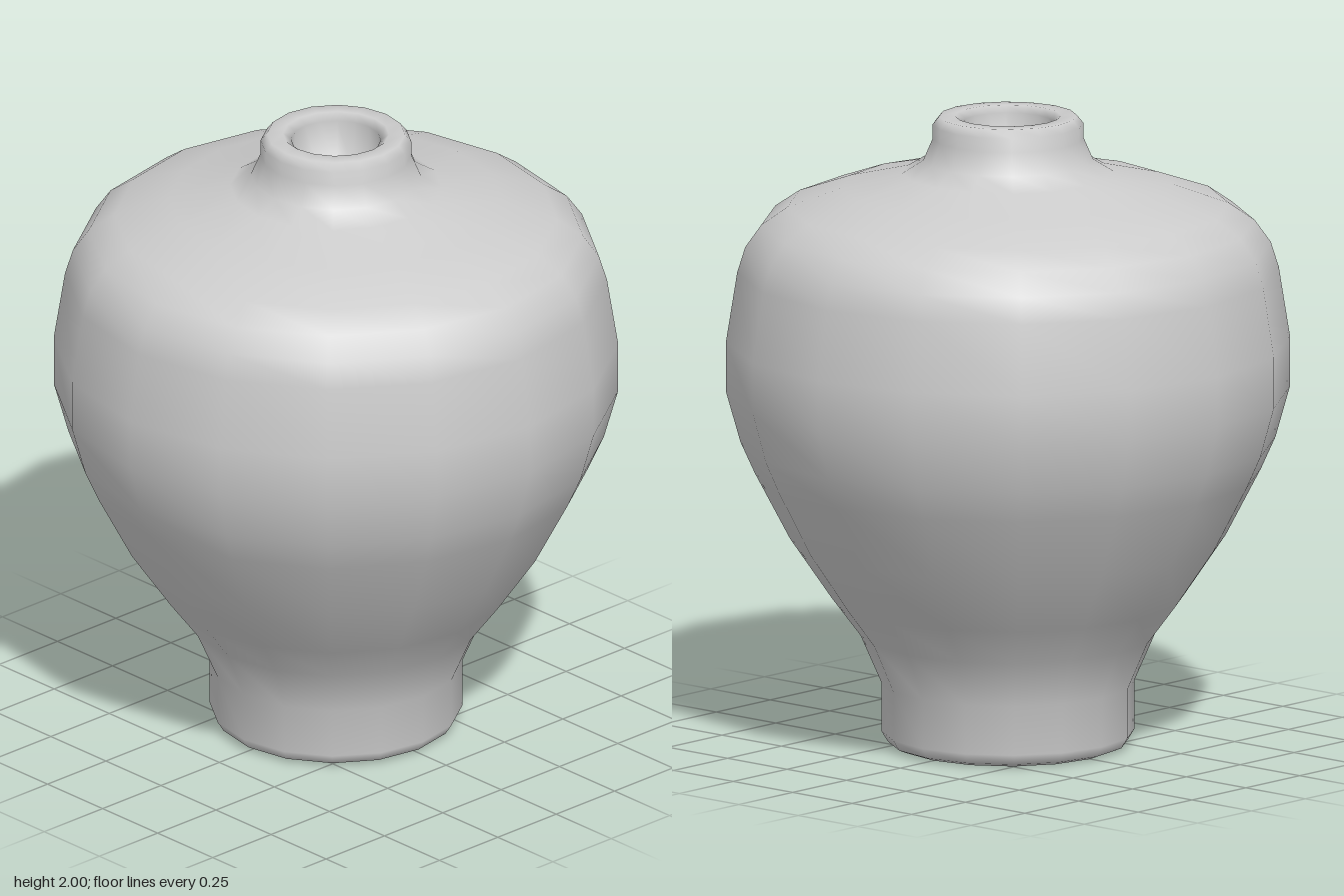
import * as THREE from 'three';

const SIDES = 16;

export function createModel() {
  const vase = new THREE.Group();
  vase.name = 'vase';

  // [radius, height] from the open foot up over the lip and down into the mouth
  const profile = [
    [0.345, 0], [0.375, 0.012], [0.395, 0.045], [0.395, 0.2], // foot
    [0.46, 0.35], [0.55, 0.47], [0.68, 0.66], [0.79, 0.87], [0.835, 0.97], // lower belly
    [0.88, 1.13], [0.88, 1.29], [0.845, 1.51], // widest band
    [0.82, 1.59], [0.77, 1.66], [0.69, 1.715], [0.52, 1.775], [0.33, 1.82], // shoulder
    [0.265, 1.86], [0.235, 1.93], [0.235, 1.975], [0.215, 2], // neck
    [0.165, 2], [0.14, 1.98], // lip
    [0.14, 1.8], [0, 1.8] // mouth and its floor
  ].map(([r, y]) => new THREE.Vector2(r, y));

  // Thin shell, seen from outside and through the open foot
  const body = new THREE.Mesh(
    new THREE.LatheGeometry(profile, SIDES),
    new THREE.MeshStandardMaterial({ color: 0xcccccc, side: THREE.DoubleSide })
  );
  body.name = 'vaseBody';
  vase.add(body);

  return vase;
}
